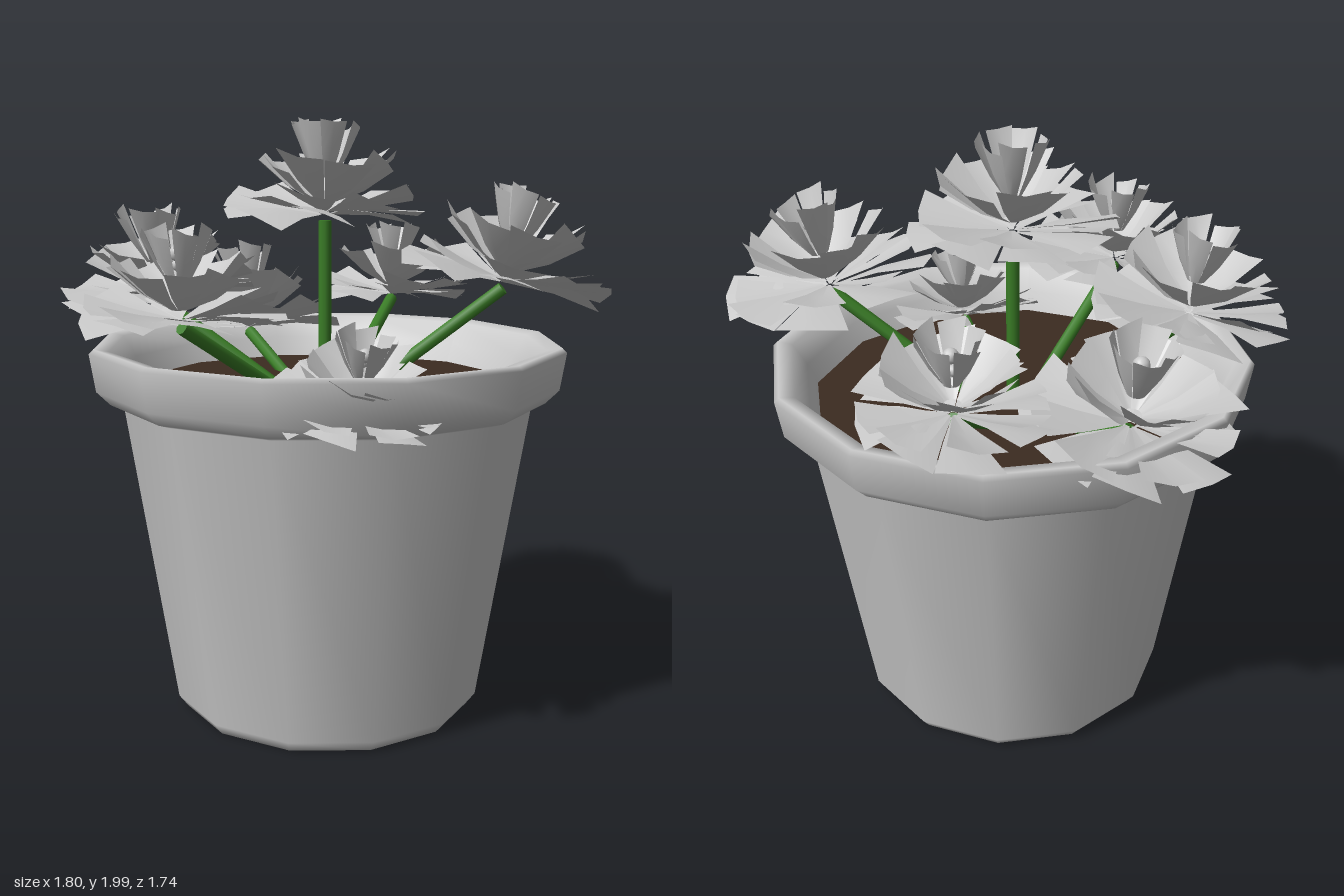
import * as THREE from 'three';

const clay = new THREE.MeshStandardMaterial({ color: 0xcacaca, side: THREE.DoubleSide });
clay.name = 'paleGrey';
const soilBrown = new THREE.MeshStandardMaterial({ color: 0x3c2b21 });
soilBrown.name = 'soilBrown';
const stemGreen = new THREE.MeshStandardMaterial({ color: 0x3a7d26 });
stemGreen.name = 'stemGreen';

const CENTRE = new THREE.Vector3(0.03, 0, 0.03);
const UP = new THREE.Vector3(0, 1, 0);

// Small seeded generator returning -1..1
let seed = 11;
function jitter() {
  seed = (seed * 16807) % 2147483647;
  return (seed / 2147483647) * 2 - 1;
}

function part(name, geometry, material) {
  const mesh = new THREE.Mesh(geometry, material);
  mesh.name = name;
  return mesh;
}

// Twelve-sided pot with a flat base, a heavy rim and an inner lip
function makePot() {
  const profile = [
    [0, 0], [0.5, 0], [0.53, 0.04], [0.69, 1.06], [0.735, 1.075], [0.78, 1.12],
    [0.8, 1.245], [0.785, 1.26], [0.735, 1.25], [0.69, 1.18], [0.65, 1.09],
  ].map(([r, y]) => new THREE.Vector2(r, y));
  const pot = part('pot', new THREE.LatheGeometry(profile, 12), clay);
  pot.position.copy(CENTRE);
  return pot;
}

// One ring of wedge petals on a cone, overlapping like shingles: each is
// twisted about its own length, folded along its middle and uneven in reach
function petalRing({ count, r0, y0, r1, y1, half, sag, fold, twist, wild, uneven }) {
  const positions = [];
  const index = [];
  const rows = 3;
  const cols = 3;
  const offset = jitter() * Math.PI;
  for (let p = 0; p < count; p++) {
    const angle = offset + (p / count) * Math.PI * 2 + jitter() * 0.1;
    const reach = 1 + jitter() * uneven;
    const lift = jitter() * wild;
    const roll = twist * (0.6 + 0.6 * jitter());
    const start = positions.length / 3;
    for (let i = 0; i < rows; i++) {
      const t = i / (rows - 1);
      const r = r0 + (r1 * reach - r0) * t;
      for (let j = 0; j < cols; j++) {
        const s = j - 1;
        const a = angle + s * half;
        const bend = lift + s * roll + Math.abs(s) * fold;
        const y = y0 + (y1 - y0) * t - sag * Math.sin(Math.PI * t) + t * bend;
        positions.push(r * Math.cos(a), y, r * Math.sin(a));
      }
    }
    for (let i = 0; i < rows - 1; i++) {
      for (let j = 0; j < cols - 1; j++) {
        const a = start + i * cols + j;
        index.push(a, a + 1, a + cols, a + 1, a + cols + 1, a + cols);
      }
    }
  }
  const geometry = new THREE.BufferGeometry();
  geometry.setAttribute('position', new THREE.Float32BufferAttribute(positions, 3));
  geometry.setIndex(index);
  geometry.computeVertexNormals();
  return geometry;
}

const RINGS = [
  { name: 'lowerPetals', count: 8, r0: 0.015, y0: 0.02, r1: 0.335, y1: 0.04, half: 0.32,
    sag: -0.012, fold: -0.01, twist: 0.03, wild: 0.018, uneven: 0.07 },
  { name: 'outerPetals', count: 8, r0: 0.02, y0: 0.03, r1: 0.32, y1: 0.075, half: 0.3,
    sag: 0.005, fold: 0.01, twist: 0.03, wild: 0.018, uneven: 0.08 },
  { name: 'middlePetals', count: 9, r0: 0.03, y0: 0.06, r1: 0.225, y1: 0.195, half: 0.38,
    sag: 0.015, fold: 0.01, twist: 0.03, wild: 0.02, uneven: 0.07 },
  { name: 'innerPetals', count: 7, r0: 0.03, y0: 0.14, r1: 0.11, y1: 0.31, half: 0.42,
    sag: 0.012, fold: 0.006, twist: 0.015, wild: 0.015, uneven: 0.1 },
];

// Flower head: four petal rings and a beaded centre
function makeFlower({ base, axis, size }) {
  const flower = new THREE.Group();
  flower.name = 'flowerHead';
  for (const ring of RINGS) flower.add(part(ring.name, petalRing(ring), clay));
  [[0, 0.24, 0, 0.027], [0.015, 0.2, -0.02, 0.02]].forEach(([x, y, z, r]) => {
    const bead = part('flowerCentre', new THREE.SphereGeometry(r, 10, 8), clay);
    bead.position.set(x, y, z);
    flower.add(bead);
  });
  flower.scale.setScalar(size);
  flower.position.set(...base);
  flower.quaternion.setFromUnitVectors(UP, new THREE.Vector3(...axis).normalize());
  return flower;
}

// Straight stem from the middle of the soil to a flower base
function makeStem(base) {
  const from = new THREE.Vector3(0.03, 0.98, 0.02);
  const to = new THREE.Vector3(...base);
  const along = to.clone().sub(from);
  const stem = part('stem', new THREE.CylinderGeometry(0.022, 0.022, along.length(), 8), stemGreen);
  stem.position.copy(from).addScaledVector(along, 0.5);
  stem.quaternion.setFromUnitVectors(UP, along.normalize());
  return stem;
}

const FLOWERS = [
  { base: [0.03, 1.66, 0.02], axis: [0, 1, 0], size: 1 },
  { base: [-0.29, 1.38, -0.45], axis: [-0.08, 1, -0.1], size: 1 },
  { base: [0.2, 1.22, -0.53], axis: [0.06, 1, -0.16], size: 1 },
  { base: [0.62, 1.34, -0.19], axis: [0.06, 1, -0.04], size: 0.88 },
  { base: [0.32, 1.45, 0.54], axis: [0.14, 1, 0.16], size: 1 },
  { base: [-0.32, 1.12, 0.49], axis: [-0.16, 1, 0.28], size: 0.8 },
  { base: [-0.6, 1.36, 0.02], axis: [-0.04, 1, 0], size: 0.94 },
];

export function createModel() {
  const model = new THREE.Group();
  model.name = 'pottedFlowers';
  model.add(makePot());

  const soil = part('soil', new THREE.CircleGeometry(0.66, 12), soilBrown);
  soil.rotation.x = -Math.PI / 2;
  soil.position.set(CENTRE.x, 1.11, CENTRE.z);
  model.add(soil);

  for (const spec of FLOWERS) model.add(makeStem(spec.base), makeFlower(spec));
  return model;
}
